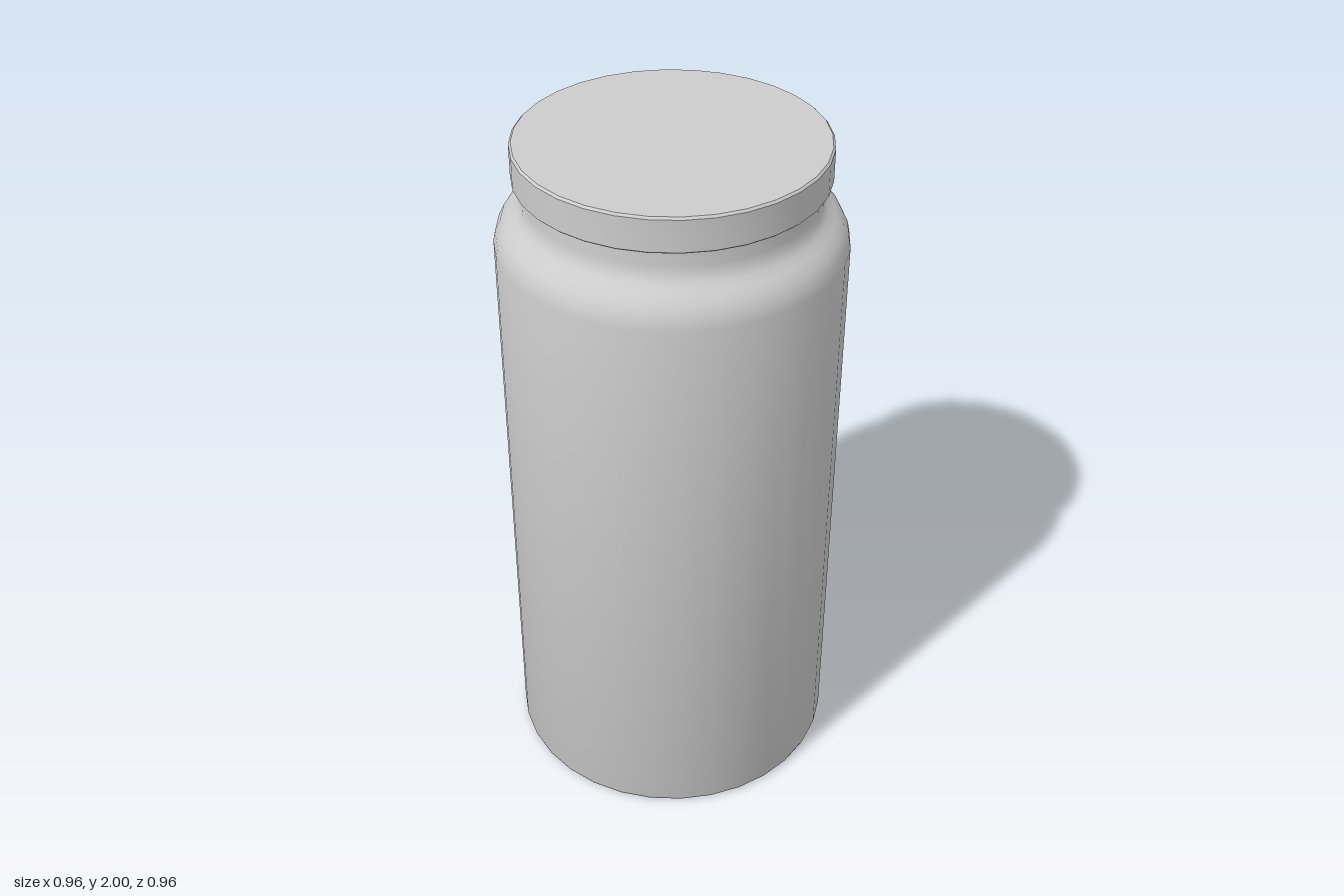
import * as THREE from 'three';
import { toCreasedNormals } from 'three/addons/utils/BufferGeometryUtils.js';

const SEGMENTS = 32;
const material = new THREE.MeshStandardMaterial({ color: 0xcccccc });

// Turns a bottom-to-top [radius, height] profile into a closed round part
function turned(name, profile) {
  const points = profile.map(([r, y]) => new THREE.Vector2(r, y));
  const geometry = toCreasedNormals(new THREE.LatheGeometry(points, SEGMENTS), 0.75);
  const mesh = new THREE.Mesh(geometry, material);
  mesh.name = name;
  return mesh;
}

export function createModel() {
  const group = new THREE.Group();
  group.name = 'jar';

  // Straight body, rounded shoulder and narrow neck
  group.add(turned('body', [
    [0, 0], [0.468, 0], [0.476, 0.005], [0.48, 0.016],
    [0.48, 1.71], [0.474, 1.74], [0.459, 1.77], [0.437, 1.79],
    [0.415, 1.808], [0.404, 1.825], [0.4, 1.85], [0.4, 1.91], [0, 1.91],
  ]));

  // Flat lid overhanging the neck
  group.add(turned('lid', [
    [0, 1.9], [0.421, 1.9], [0.425, 1.904],
    [0.425, 1.994], [0.419, 2], [0, 2],
  ]));

  return group;
}
